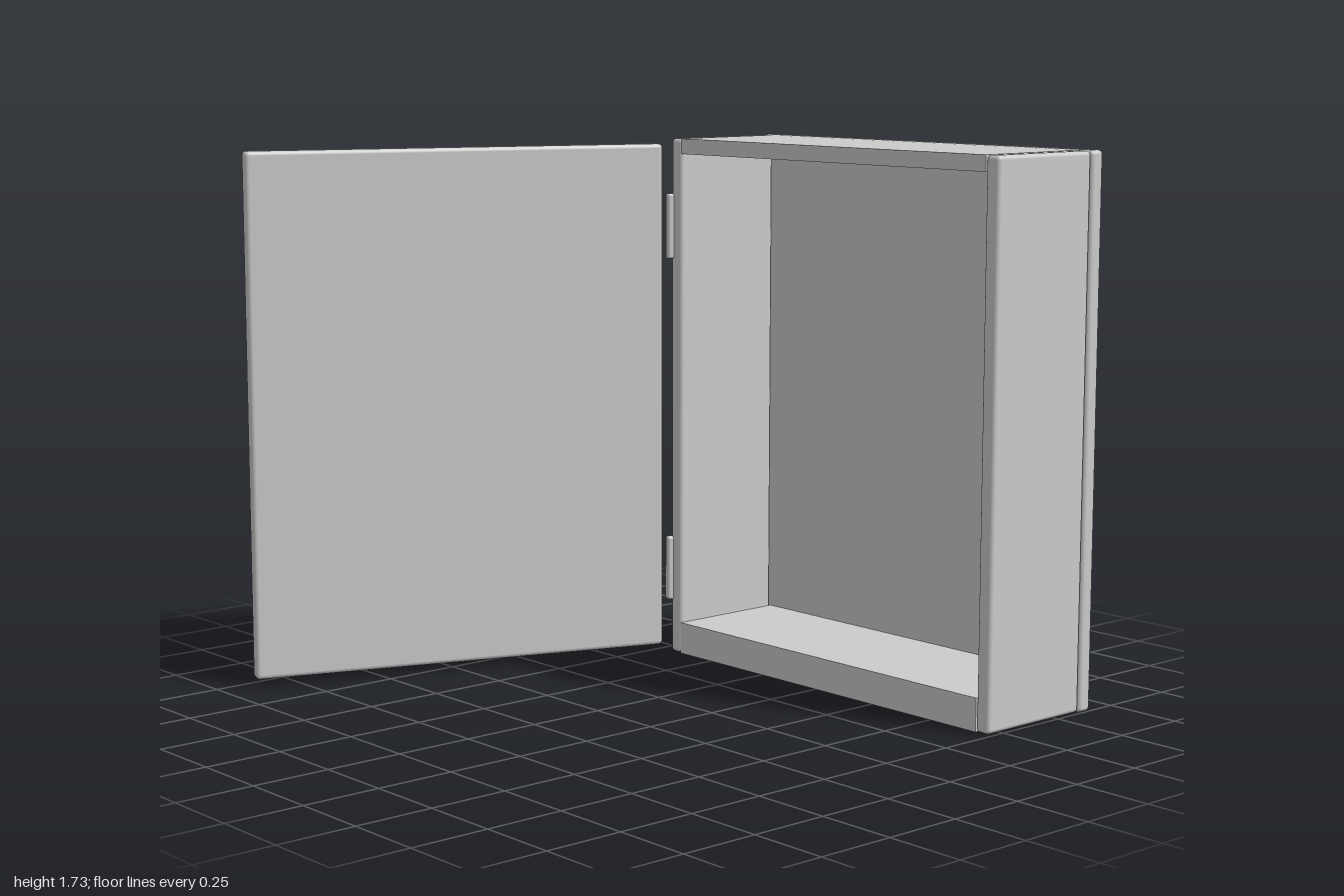
import * as THREE from 'three';
import { RoundedBoxGeometry } from 'three/addons/geometries/RoundedBoxGeometry.js';

const grey = new THREE.MeshStandardMaterial({ color: 0xcccccc });
const red = new THREE.MeshStandardMaterial({ color: 0x8c2a22 });

// Box with softened edges when radius > 0, sharp otherwise
function panel(parent, name, [w, h, d], [x, y, z], radius = 0, material = grey) {
  const geometry = radius
    ? new RoundedBoxGeometry(w, h, d, 3, radius)
    : new THREE.BoxGeometry(w, h, d);
  const mesh = new THREE.Mesh(geometry, material);
  mesh.name = name;
  mesh.position.set(x, y, z);
  parent.add(mesh);
  return mesh;
}

export function createModel() {
  const model = new THREE.Group();
  model.name = 'firstAidCabinet';
  const doorAngle = -THREE.MathUtils.degToRad(20);

  // Cabinet body, open towards +z
  const body = new THREE.Group();
  body.name = 'cabinetBody';
  body.position.x = 0.28;
  model.add(body);
  panel(body, 'backPanel', [1.44, 1.73, 0.052], [0, 0.865, -0.875], 0.014);
  for (const side of [-1, 1]) {
    panel(body, side < 0 ? 'rightSidePanel' : 'leftSidePanel',
      [0.052, 1.725, 0.412], [side * 0.693, 0.866, -0.641], 0.014);
  }
  panel(body, 'topPanel', [1.336, 0.05, 0.415], [0, 1.704, -0.6425]);
  panel(body, 'bottomPanel', [1.336, 0.105, 0.415], [0, 0.0565, -0.6425]);

  // Hinges between the body and the door
  for (const y of [0.29, 1.44]) {
    const hinge = panel(model, 'hinge', [0.03, 0.215, 0.03], [-0.44, y, -0.436], 0.008);
    hinge.rotation.y = doorAngle;
  }

  // Open door: its outer face is local -x, its free edge local +z
  const door = new THREE.Group();
  door.name = 'door';
  door.position.set(-0.715, 0.868, 0.232);
  door.rotation.y = doorAngle;
  model.add(door);
  panel(door, 'doorPanel', [0.052, 1.685, 1.392], [0, 0, 0], 0.014);
  panel(door, 'crossHorizontalBar', [0.014, 0.18, 0.57], [-0.032, 0.087, 0], 0, red);
  panel(door, 'crossVerticalBar', [0.028, 0.57, 0.18], [-0.039, 0.087, 0], 0, red);
  panel(door, 'doorHandle', [0.045, 0.215, 0.065], [-0.048, -0.178, 0.613], 0.012);

  return model;
}
